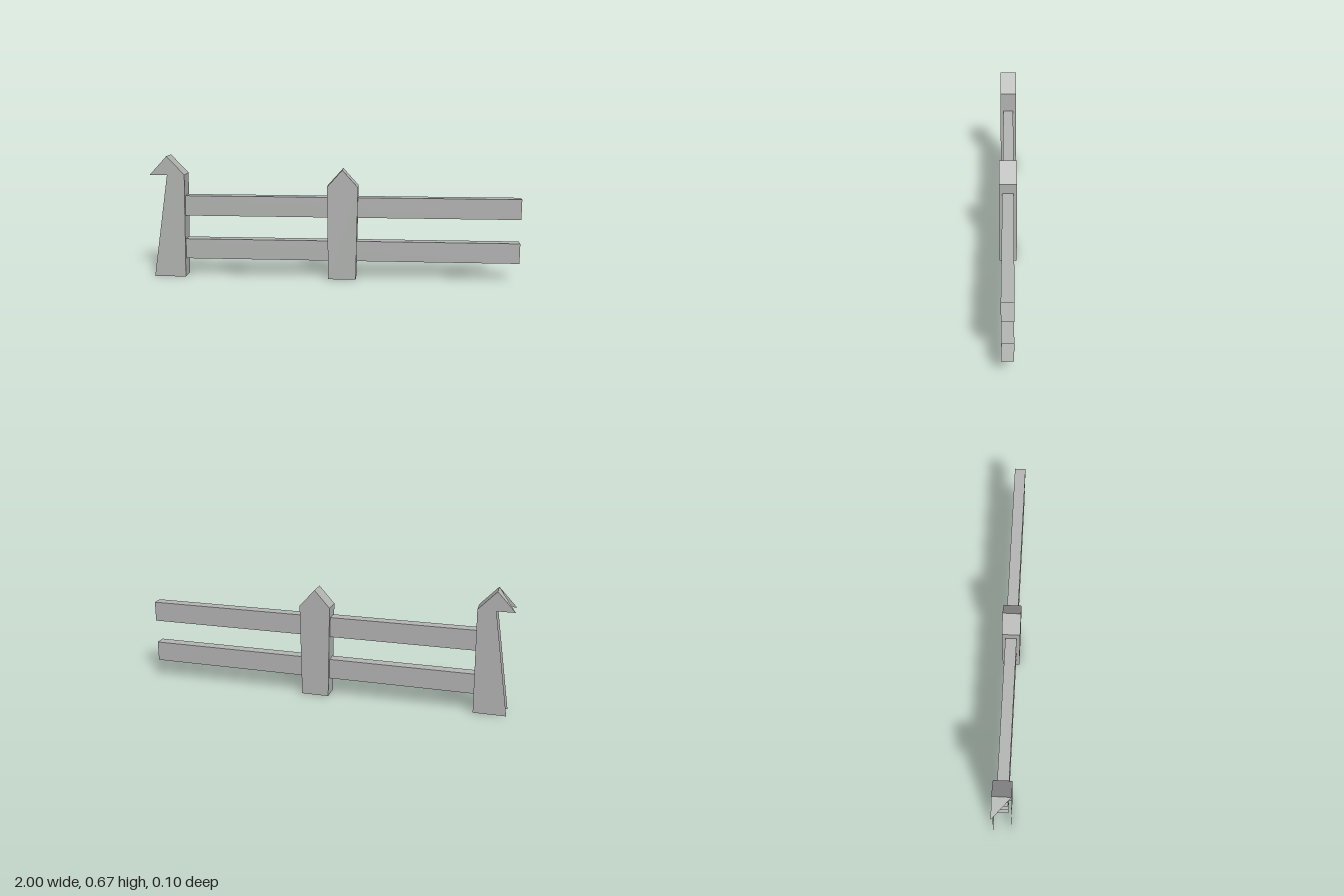
import * as THREE from 'three';

const D = 0.048; // half depth of the posts
const R = 0.03;  // half depth of the rails

export function createModel() {
  const model = new THREE.Group();
  model.name = 'fence';
  const grey = new THREE.MeshStandardMaterial({ color: 0xb4b6b4, side: THREE.DoubleSide });
  grey.name = 'grey paint';

  const add = (parent, name, geometry) => {
    const mesh = new THREE.Mesh(geometry, grey);
    mesh.name = name;
    parent.add(mesh);
    return mesh;
  };

  // Flat polygon from a loop of corners, drawn as a fan
  const polygon = (corners) => {
    const points = [];
    for (let i = 1; i < corners.length - 1; i++) points.push(...corners[0], ...corners[i], ...corners[i + 1]);
    const g = new THREE.BufferGeometry();
    g.setAttribute('position', new THREE.Float32BufferAttribute(points, 3));
    g.computeVertexNormals();
    return g;
  };

  // Hollow post: two faces, plus walls on the listed profile edges (counterclockwise)
  const post = (name, profile, walls) => {
    const group = new THREE.Group();
    group.name = name;
    const shape = () => new THREE.ShapeGeometry(new THREE.Shape(profile.map(([x, y]) => new THREE.Vector2(x, y))));
    add(group, 'frontFace', shape().translate(0, 0, D));
    const mirrored = new THREE.Shape(profile.map(([x, y]) => new THREE.Vector2(-x, y)));
    add(group, 'backFace', new THREE.ShapeGeometry(mirrored).rotateY(Math.PI).translate(0, 0, -D));
    for (const i of walls) {
      const [ax, ay] = profile[i];
      const [bx, by] = profile[(i + 1) % profile.length];
      add(group, 'wall', polygon([[ax, ay, D], [ax, ay, -D], [bx, by, -D], [bx, by, D]]));
    }
    model.add(group);
    return group;
  };

  // Centre post, open underneath
  post('centrePost', [[-0.03, 0], [0.12, 0], [0.13, 0.507], [0.046, 0.6], [-0.037, 0.507]], [1, 2, 3, 4]);

  // Hooked end post, open on its outer side and underneath
  const end = post('endPost',
    [[-0.993, 0], [-0.82, 0], [-0.81, 0.567], [-0.905, 0.667], [-1, 0.565], [-0.905, 0.565]], [1, 2]);
  // Half of the outer roof slope
  add(end, 'roofCorner', polygon([[-0.905, 0.667, D], [-0.905, 0.667, -D], [-1, 0.565, -D]]));

  // Rails: square tubes with open ends
  const x0 = -0.9, x1 = 1;
  for (const [name, low, high] of [['lowerRail', 0.1, 0.21], ['upperRail', 0.34, 0.45]]) {
    const rail = new THREE.Group();
    rail.name = name;
    const section = [[low, R], [low, -R], [high, -R], [high, R]];
    section.forEach(([ay, az], i) => {
      const [by, bz] = section[(i + 1) % 4];
      add(rail, 'railSide', polygon([[x0, ay, az], [x0, by, bz], [x1, by, bz], [x1, ay, az]]));
    });
    model.add(rail);
  }
  return model;
}
